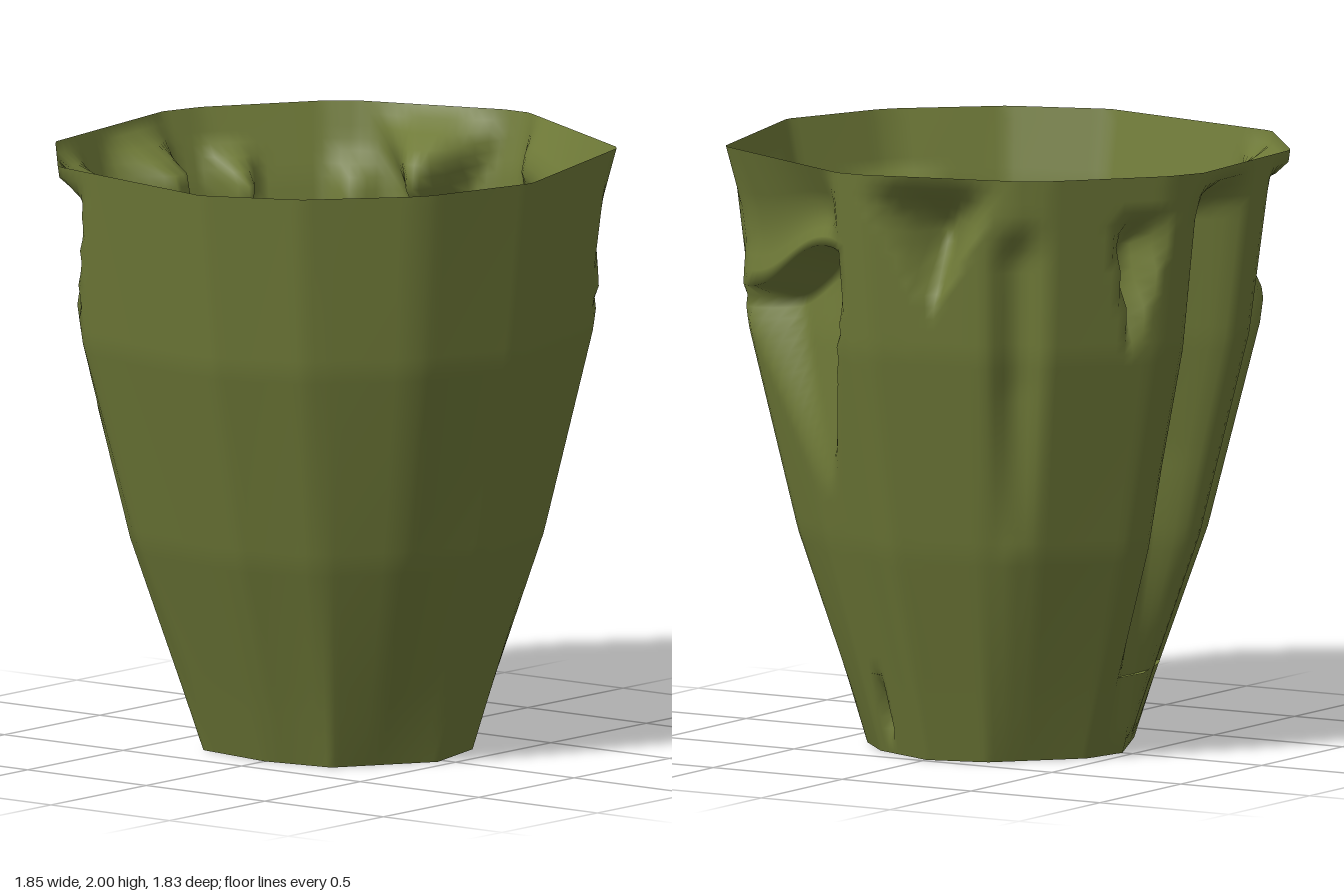
import * as THREE from 'three';

const olive = new THREE.MeshStandardMaterial({ color: 0x6f7a38, side: THREE.DoubleSide });
olive.name = 'olive';
const grey = new THREE.MeshStandardMaterial({ color: 0xc8c8c8, side: THREE.DoubleSide });
grey.name = 'pale grey';

// Corners (x, z) of the rim and the base, in order from +z towards +x
const rim = [[-0.11, 0.91], [0.58, 0.72], [0.92, 0.07], [0.92, -0.03], [0.77, -0.52], [0.7, -0.62],
  [0.37, -0.87], [0.23, -0.92], [-0.42, -0.85], [-0.78, -0.55], [-0.93, 0.17], [-0.8, 0.49],
  [-0.54, 0.75], [-0.48, 0.79]];
const base = [[-0.03, 0.45], [0.24, 0.38], [0.38, 0.24], [0.48, 0], [0.42, -0.2], [0.17, -0.43],
  [0, -0.46], [-0.33, -0.3], [-0.38, 0], [-0.34, 0.25]];

// Height, and blend from base outline (0) to rim outline (1)
const profile = [[0, 0], [0.22, 0.15], [0.72, 0.5], [1.4, 0.84], [2, 1]];

// Dents: angle and half width in degrees, bottom, top, depth; vee dents narrow downwards
const dents = [
  { angle: 106, width: 16, low: 1.55, high: 1.97, depth: 0.2, vee: true },
  { angle: 125, width: 6, low: 0.72, high: 1.85, depth: 0.06 },
  { angle: 152, width: 7, low: 1.42, high: 1.88, depth: 0.14, vee: true },
  { angle: 177, width: 12, low: 0.05, high: 1.96, depth: 0.18 },
  { angle: 207, width: 9, low: 0.05, high: 1.94, depth: 0.22 },
  { angle: 225, width: 17, low: 1.0, high: 1.95, depth: 0.24, vee: true },
  { angle: 68, width: 4, low: 0.05, high: 0.27, depth: 0.07 },
];
// Extra bulges on the lining only
const liningDents = [...dents,
  { angle: 326, width: 14, low: 0.3, high: 1.8, depth: 0.1 },
  { angle: 10, width: 26, low: 0.4, high: 1.88, depth: 0.05 },
];

const { clamp, lerp } = THREE.MathUtils;
const LIP = 0.82;

// Distance from the axis to an outline along an angle
function outlineRadius(outline, t) {
  const dx = Math.sin(t), dz = Math.cos(t);
  for (let i = 0; i < outline.length; i++) {
    const [ax, az] = outline[i], [bx, bz] = outline[(i + 1) % outline.length];
    const ex = bx - ax, ez = bz - az, cross = dx * ez - dz * ex;
    const r = (ax * ez - az * ex) / cross;
    const s = (ax * dz - az * dx) / cross;
    if (r > 0 && s >= -1e-6 && s <= 1 + 1e-6) return r;
  }
  return 0.5;
}

function blendAt(y) {
  for (let i = 1; i < profile.length; i++) {
    const [y0, s0] = profile[i - 1], [y1, s1] = profile[i];
    if (y <= y1) return lerp(s0, s1, (y - y0) / (y1 - y0));
  }
  return 1;
}

const plainRadius = (t, y) => lerp(outlineRadius(base, t), outlineRadius(rim, t), blendAt(y));

// How far the dents push the wall in
function dentDepth(list, deg, y) {
  let depth = 0;
  for (const d of list) {
    if (y <= d.low || y >= d.high) continue;
    const up = (y - d.low) / (d.high - d.low);
    const across = Math.max(0, 1 - Math.abs(deg - d.angle) / (d.vee ? d.width * up : d.width));
    const along = Math.min(1, (d.high - y) / 0.12, up * 2);
    depth = Math.max(depth, d.depth * Math.min(1, across * 1.4) * along);
  }
  return depth;
}

// Overhanging lip on the front corner, with a hollow narrowing downwards beneath it
function hollowDepth(deg, y, v) {
  const up = clamp((y - 0.9) / 0.7, 0, 1);
  const side = clamp((deg - lerp(60, 34, up)) / 7, 0, 1) * clamp((lerp(70, 84, up) - deg) / 5, 0, 1);
  if (v < LIP - 1e-6) return 0.17 * side * up;
  return 0.05 * side * clamp((1 - v) / 0.08, 0, 1) * clamp((v - LIP) / 0.06, 0, 1);
}

// Closed rings from ring(t, v), which gives a radius and a height
function loft(rows, ring) {
  const around = 180, pos = [], index = [];
  for (let j = 0; j <= rows; j++) for (let i = 0; i < around; i++) {
    const t = (i / around) * Math.PI * 2;
    const [r, y] = ring(t, j / rows);
    pos.push(Math.sin(t) * r, y, Math.cos(t) * r);
  }
  for (let j = 0; j < rows; j++) for (let i = 0; i < around; i++) {
    const a = j * around + i, b = j * around + (i + 1) % around;
    index.push(a, b, b + around, a, b + around, a + around);
  }
  const g = new THREE.BufferGeometry();
  g.setAttribute('position', new THREE.Float32BufferAttribute(pos, 3));
  g.setIndex(index);
  g.computeVertexNormals();
  return g;
}

// One skin of the wall; its rows bend so that one of them follows the lip
function skin(list, inset) {
  return (t, v) => {
    const deg = THREE.MathUtils.radToDeg(t);
    const bend = Math.abs(deg - 60) < 40 ? 0.1 * Math.sin((deg - 60) / 40 * Math.PI) : 0;
    const y = v * 2 + bend * (v < LIP ? v / LIP : (1 - v) / (1 - LIP));
    const r = plainRadius(t, y) - dentDepth(list, deg, y) - hollowDepth(deg, y, v)
      - inset * Math.min(1, (1 - v) * 8);
    return [r, y - v * (0.013 - 0.014 * r * Math.sin(t))];
  };
}

export function createModel() {
  const group = new THREE.Group();
  group.name = 'crumpledCup';
  const add = (name, geometry, material) => {
    const mesh = new THREE.Mesh(geometry, material);
    mesh.name = name;
    group.add(mesh);
  };

  add('wall', loft(50, skin(dents, 0)), olive);
  add('lining', loft(50, skin(liningDents, 0.025)), olive);
  add('floor', loft(6, (t, v) => [plainRadius(t, 0.27) * v, 0.23 + 0.04 * v * v]), olive);

  // Underside rim around an open pale recess
  const baseRadius = (t) => outlineRadius(base, t);
  add('undersideRim', loft(1, (t, v) => [baseRadius(t) * lerp(0.7, 1, v), 0.015 * (1 - v)]), olive);
  add('recessWall', loft(2, (t, v) => [baseRadius(t) * lerp(0.7, 0.5, v), 0.015 + 0.2 * v]), grey);
  add('recessTop', loft(1, (t, v) => [baseRadius(t) * 0.5 * v, 0.215]), grey);
  return group;
}
